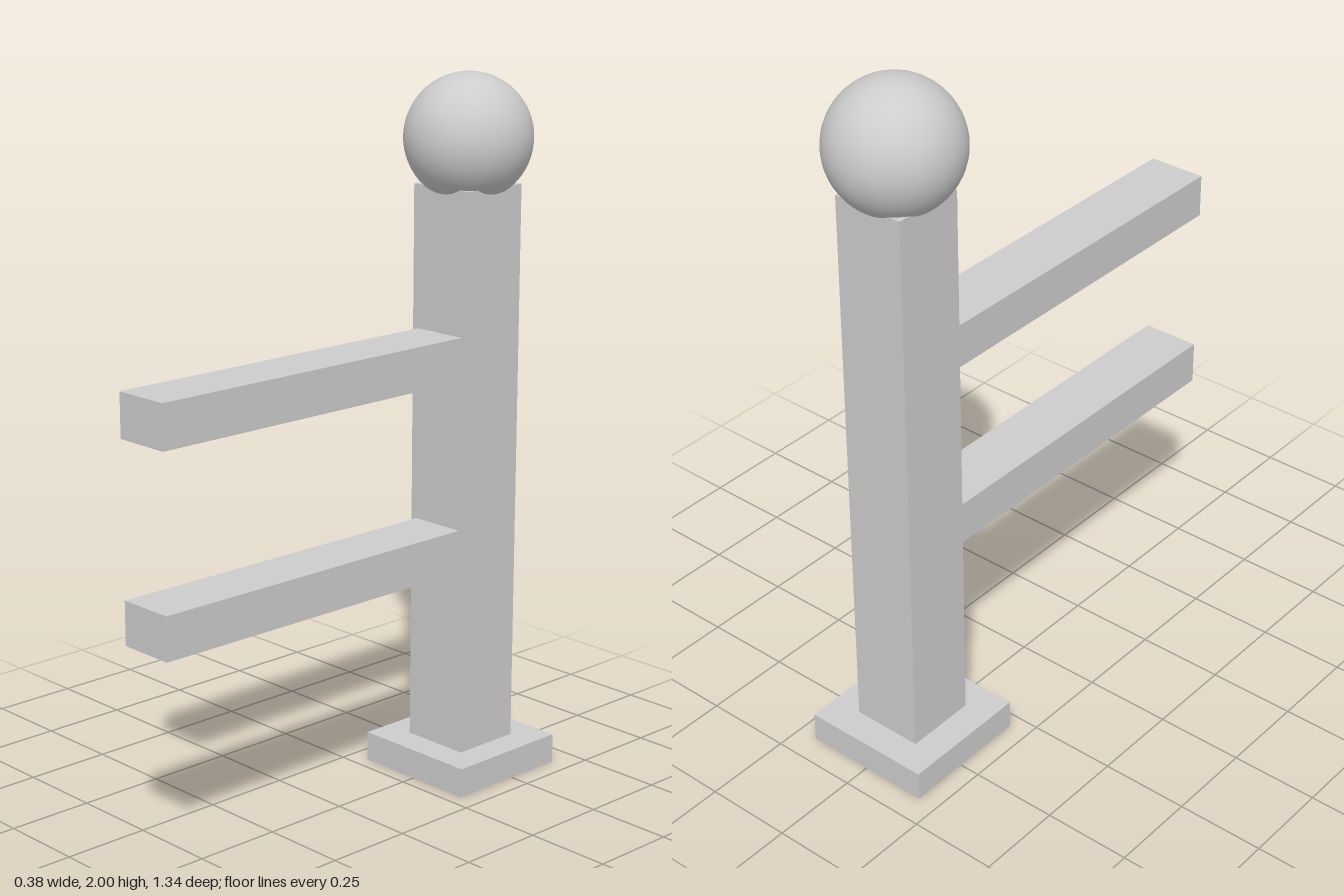
import * as THREE from 'three';

export function createModel() {
  const group = new THREE.Group();
  const grey = new THREE.MeshStandardMaterial({ color: 0xcccccc });
  grey.name = 'light grey';
  const postZ = -0.482;

  const add = (name, geometry, x, y, z) => {
    const mesh = new THREE.Mesh(geometry, grey);
    mesh.name = name;
    mesh.position.set(x, y, z);
    group.add(mesh);
  };

  // Square foot and upright post
  add('basePlate', new THREE.BoxGeometry(0.38, 0.085, 0.38), 0, 0.0425, postZ);
  const postBottom = 0.085, postTop = 1.695;
  add('post', new THREE.BoxGeometry(0.207, postTop - postBottom, 0.207),
    0, (postTop + postBottom) / 2, postZ);

  // Ball finial sunk into the post top
  const radius = 0.178;
  add('ballFinial', new THREE.SphereGeometry(radius, 48, 32), 0, 2 - radius, postZ);

  // Two rails reaching forward from the post
  const railBack = postZ + 0.1035, railFront = 0.672;
  [['lowerRail', 0.681], ['upperRail', 1.231]].forEach(([name, y]) => {
    add(name, new THREE.BoxGeometry(0.167, 0.123, railFront - railBack),
      0, y, (railFront + railBack) / 2);
  });

  return group;
}
